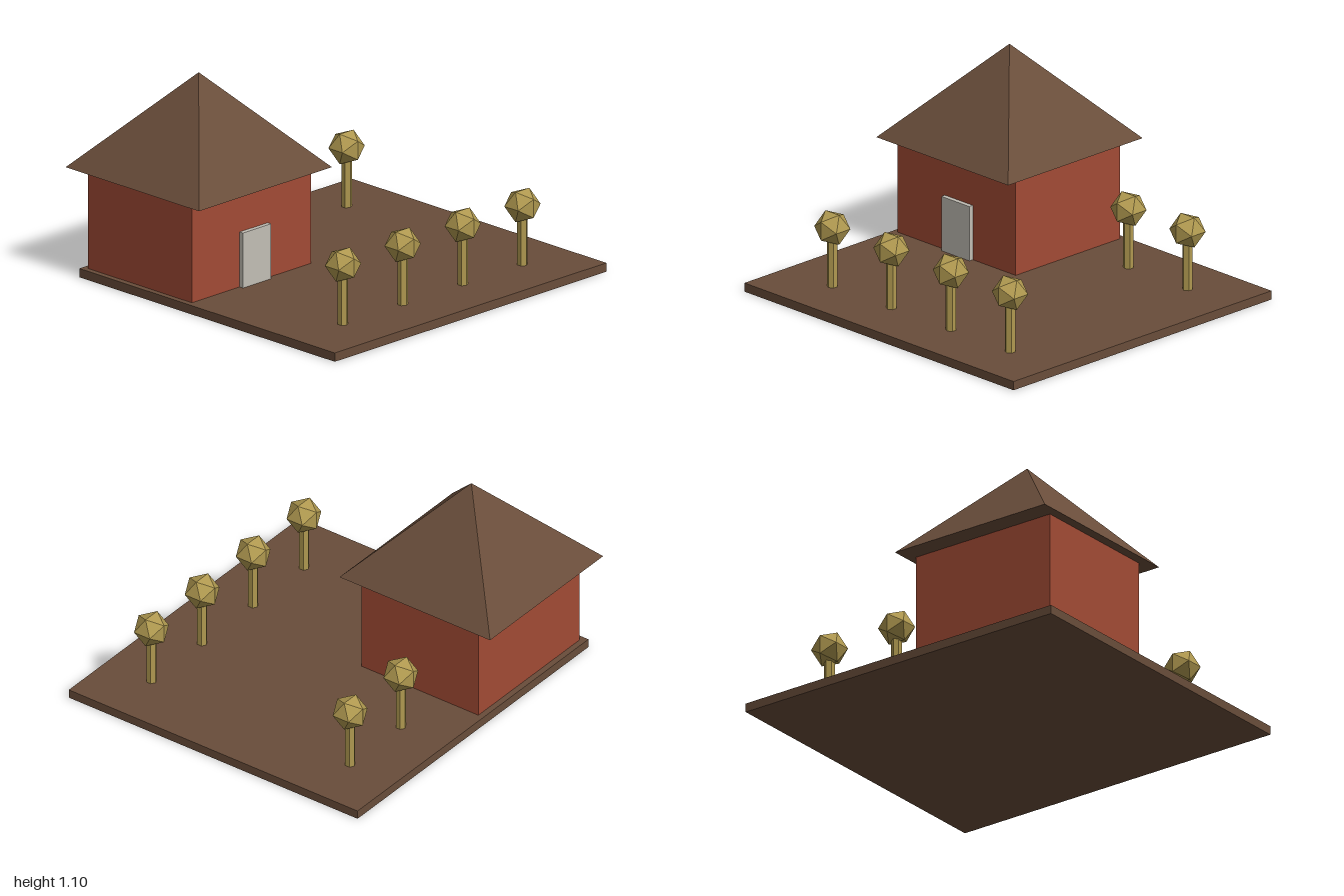
import * as THREE from 'three';

const material = (name, color) => {
  const m = new THREE.MeshStandardMaterial({ color });
  m.name = name;
  return m;
};

export function createModel() {
  const model = new THREE.Group();
  model.name = 'houseWithTrees';
  const brown = material('brown', 0x694d3a);
  const brick = material('brickRed', 0xa24b35);
  const grey = material('paleGrey', 0xc2beb5);
  const olive = material('olive', 0xb09950);

  const add = (parent, name, geometry, mat, x, y, z) => {
    const mesh = new THREE.Mesh(geometry, mat);
    mesh.name = name;
    mesh.position.set(x, y, z);
    parent.add(mesh);
    return mesh;
  };
  // Box given by its minimum and maximum corners
  const box = (parent, name, mat, [x0, y0, z0], [x1, y1, z1]) =>
    add(parent, name, new THREE.BoxGeometry(x1 - x0, y1 - y0, z1 - z0), mat,
      (x0 + x1) / 2, (y0 + y1) / 2, (z0 + z1) / 2);

  // Ground slab
  box(model, 'ground', brown, [-0.98, 0, -0.89], [1, 0.048, 0.97]);

  // House: walls, door and four-sided roof
  const house = new THREE.Group();
  house.name = 'house';
  model.add(house);
  box(house, 'walls', brick, [-0.948, 0.002, -0.857], [-0.08, 0.586, -0.103]);
  box(house, 'door', grey, [-0.6, 0.004, -0.125], [-0.395, 0.348, -0.078]);
  const roofGeometry = new THREE.ConeGeometry(0.485 * Math.SQRT2, 0.518, 4)
    .rotateY(Math.PI / 4).toNonIndexed();
  roofGeometry.computeVertexNormals(); // flat slopes
  add(house, 'roof', roofGeometry, brown, -0.515, 0.586 + 0.259, -0.485);

  // Trees: four along the front, two beside the house
  const trunkGeometry = new THREE.CylinderGeometry(0.028, 0.028, 0.27, 6).toNonIndexed();
  trunkGeometry.computeVertexNormals();
  const crownGeometry = new THREE.IcosahedronGeometry(0.096, 0);
  const xs = [-0.63, -0.195, 0.243, 0.678];
  const spots = [...xs.map((x) => [x, 0.68]), ...xs.slice(2).map((x) => [x, -0.6])];
  for (const [x, z] of spots) {
    const tree = new THREE.Group();
    tree.name = 'tree';
    tree.position.set(x, 0, z);
    add(tree, 'trunk', trunkGeometry, olive, 0, 0.17, 0);
    add(tree, 'crown', crownGeometry, olive, 0, 0.372, 0);
    model.add(tree);
  }
  return model;
}
